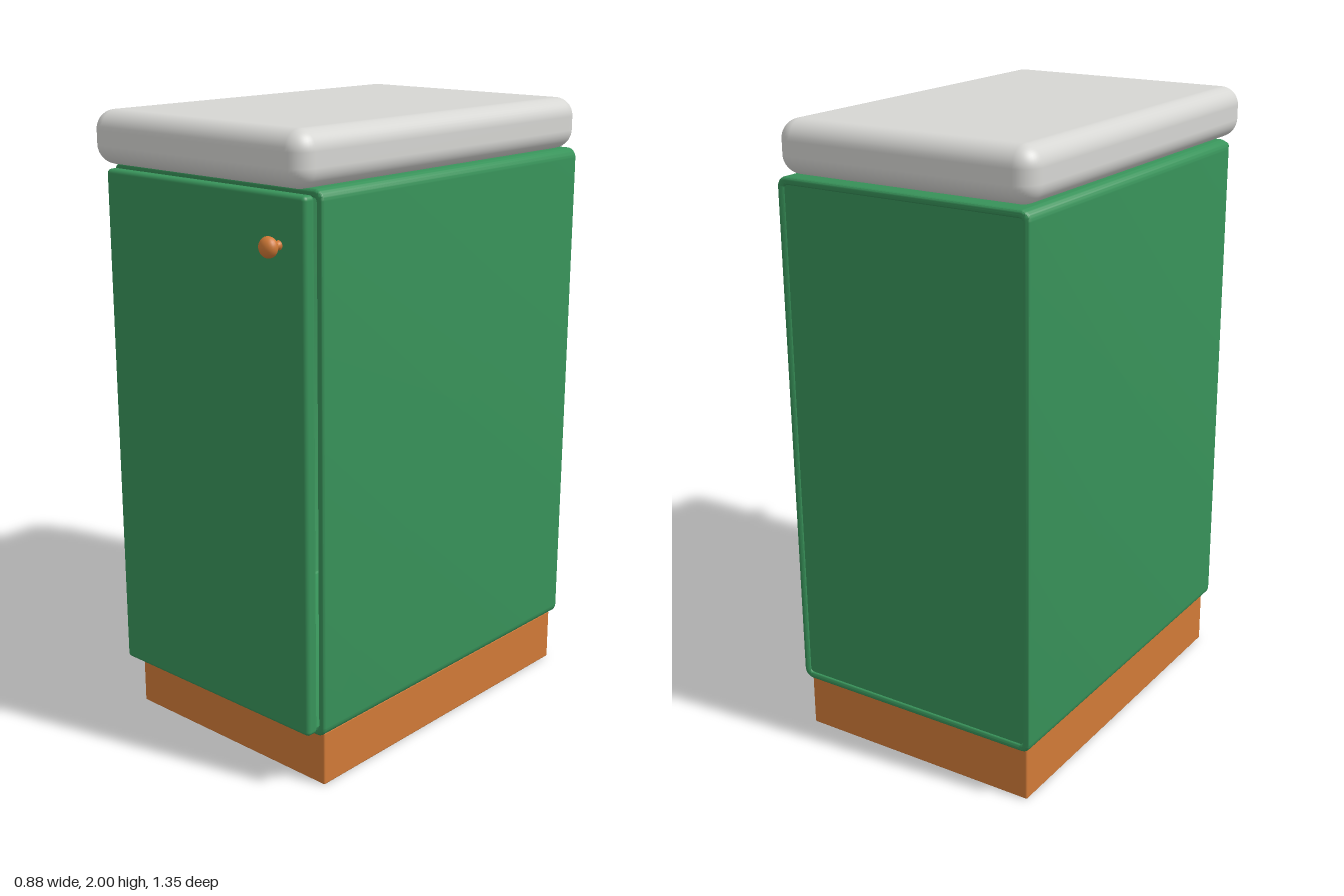
import * as THREE from 'three';
import { toCreasedNormals } from 'three/addons/utils/BufferGeometryUtils.js';
import { RoundedBoxGeometry } from 'three/addons/geometries/RoundedBoxGeometry.js';

const material = (name, color) => {
  const m = new THREE.MeshStandardMaterial({ color });
  m.name = name;
  return m;
};

// Rounded rectangle centred on the origin
function roundedRect(w, h, r, Type = THREE.Shape) {
  const x = w / 2, y = h / 2, s = new Type();
  s.absarc(x - r, y - r, r, 0, Math.PI / 2);
  s.absarc(-x + r, y - r, r, Math.PI / 2, Math.PI);
  s.absarc(-x + r, -y + r, r, Math.PI, Math.PI * 1.5);
  s.absarc(x - r, -y + r, r, Math.PI * 1.5, Math.PI * 2);
  s.closePath();
  return s;
}

export function createModel() {
  const group = new THREE.Group();
  const green = material('green paint', 0x38935a);
  const wood = material('orange wood', 0xd17a37);
  const stone = material('pale grey stone', 0xd6d6d3);

  const add = (name, geometry, mat, x, y, z) => {
    const mesh = new THREE.Mesh(geometry, mat);
    mesh.name = name;
    mesh.position.set(x, y, z);
    group.add(mesh);
    return mesh;
  };
  const box = (name, mat, [x0, x1], [y0, y1], [z0, z1], r) =>
    add(name, new RoundedBoxGeometry(x1 - x0, y1 - y0, z1 - z0, 5, r), mat,
      (x0 + x1) / 2, (y0 + y1) / 2, (z0 + z1) / 2);

  // Base and worktop
  box('plinth', wood, [-0.418, 0.414], [0, 0.178], [-0.658, 0.54], 0.006);
  box('worktop', stone, [-0.441, 0.437], [1.836, 2], [-0.675, 0.65], 0.06);

  // Hollow cabinet shell with softened rims
  const bevel = 0.01;
  const outline = roundedRect(0.87, 1.66, 0.032);
  outline.holes.push(roundedRect(0.82, 1.61, 0.012, THREE.Path));
  const shell = new THREE.ExtrudeGeometry(outline, {
    depth: 1.237 - 2 * bevel, bevelThickness: bevel, bevelSize: bevel,
    bevelOffset: -bevel, bevelSegments: 4, curveSegments: 6,
  });
  add('cabinetShell', toCreasedNormals(shell, 0.6), green, -0.002, 1.005, -0.675 + bevel);

  // Panel set into the back, and the door
  box('backPanel', green, [-0.418, 0.414], [0.195, 1.815], [-0.669, -0.635], 0.004);
  box('door', green, [-0.417, 0.413], [0.19, 1.82], [0.566, 0.61], 0.014);

  // Turned knob with a flared stem
  const profile = [[0, 0], [0.015, 0], [0.012, 0.008], [0.011, 0.018], [0.015, 0.025]];
  for (let i = 1; i <= 10; i++) {
    const a = -0.9 + (i / 10) * (Math.PI / 2 + 0.9);
    profile.push([Math.max(0, Math.cos(a) * 0.031), 0.043 + Math.sin(a) * 0.024]);
  }
  const knob = add('knob',
    new THREE.LatheGeometry(profile.map(([r, h]) => new THREE.Vector2(r, h)), 28),
    wood, 0.314, 1.676, 0.608);
  knob.rotation.x = Math.PI / 2;

  return group;
}
